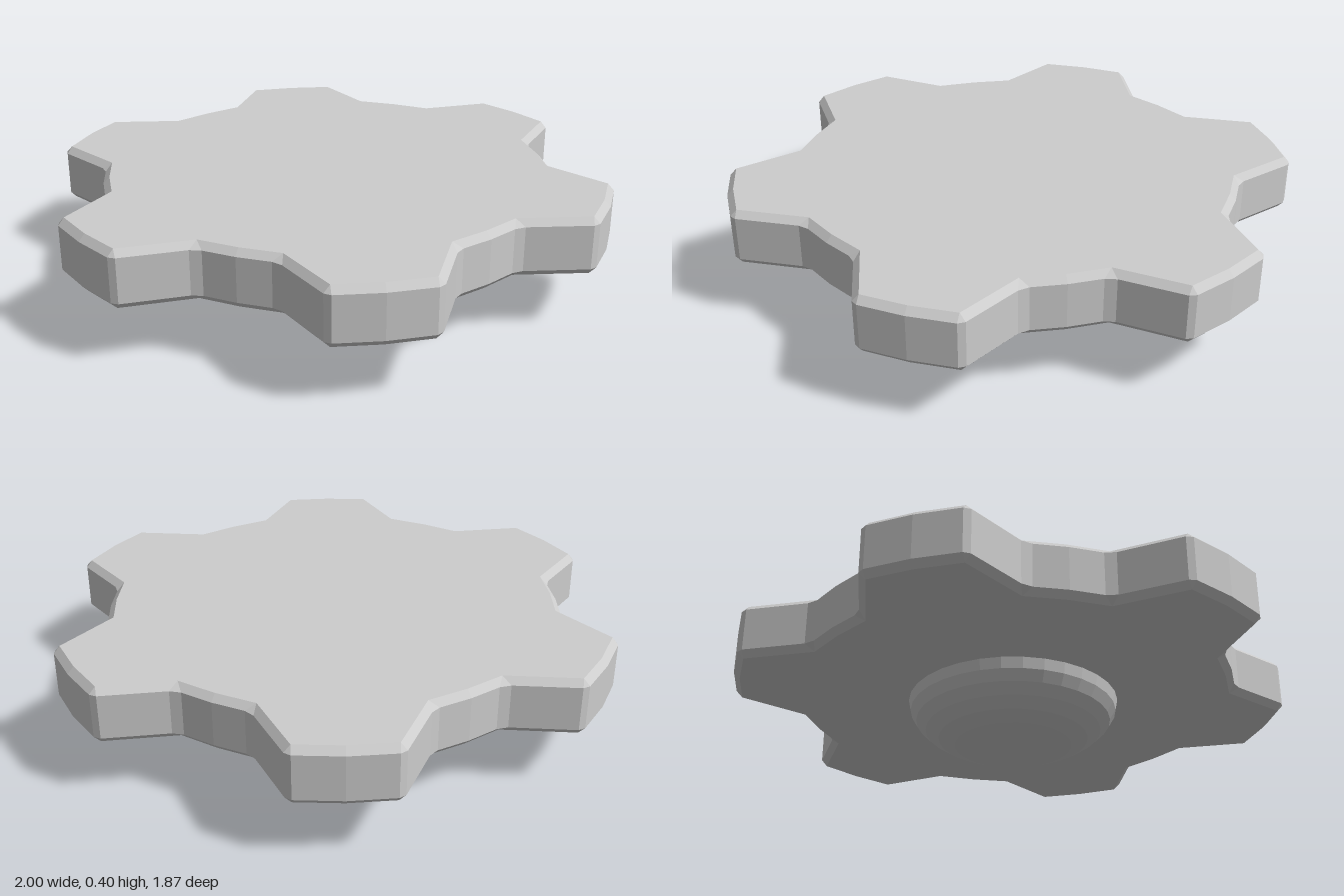
import * as THREE from 'three';

const TEETH = 6;
const BEVEL = 0.022;
const BOTTOM = 0.2, TOP = 0.4, EDGE = 0.023;

// One tooth and the notch after it: [radius, angle in degrees, corner chamfer]
const PITCH = [
  [0.98, -9.2, 0.015], [0.978, 0, 0], [0.98, 9.2, 0.015],
  [0.78, 19.4, 0.021], [0.775, 30, 0], [0.78, 40.6, 0.021],
];

// Face outline, and the wider rim outline whose corners are chamfered
function outlines() {
  const pts = [];
  for (let t = 0; t < TEETH; t++) {
    for (const [r, deg, cut] of PITCH) {
      const a = THREE.MathUtils.degToRad(deg + t * 360 / TEETH);
      pts.push({ p: new THREE.Vector2(r * Math.cos(a), r * Math.sin(a)), cut });
    }
  }
  const face = [], rim = [];
  const n = pts.length;
  pts.forEach(({ p, cut }, i) => {
    const d1 = p.clone().sub(pts[(i + n - 1) % n].p).normalize();
    const d2 = pts[(i + 1) % n].p.clone().sub(p).normalize();
    const n1 = new THREE.Vector2(d1.y, -d1.x), n2 = new THREE.Vector2(d2.y, -d2.x);
    const mitre = n1.clone().add(n2).multiplyScalar(BEVEL / (1 + n1.dot(n2))).add(p);
    if (cut) {
      face.push(p, p);
      rim.push(mitre.clone().addScaledVector(d1, -cut), mitre.clone().addScaledVector(d2, cut));
    } else {
      face.push(p);
      rim.push(mitre);
    }
  });
  return { face, rim };
}

function gearGeometry() {
  const { face, rim } = outlines();
  const ring = (loop, y) => loop.map((p) => new THREE.Vector3(p.x, y, p.y));
  const rings = [ring(face, BOTTOM), ring(rim, BOTTOM + EDGE), ring(rim, TOP - EDGE), ring(face, TOP)];
  const positions = [];
  const tri = (a, b, c) => {
    if (a.equals(b) || b.equals(c) || c.equals(a)) return;
    for (const v of [a, b, c]) positions.push(v.x, v.y, v.z);
  };
  const low = new THREE.Vector3(0, BOTTOM, 0), high = new THREE.Vector3(0, TOP, 0);
  const n = face.length;
  for (let i = 0; i < n; i++) {
    const j = (i + 1) % n;
    // Bevel, wall, bevel
    for (let k = 0; k < 3; k++) {
      const a = rings[k], b = rings[k + 1];
      tri(a[i], b[i], b[j]);
      tri(a[i], b[j], a[j]);
    }
    // Flat faces
    tri(high, rings[3][j], rings[3][i]);
    tri(low, rings[0][i], rings[0][j]);
  }
  const geometry = new THREE.BufferGeometry();
  geometry.setAttribute('position', new THREE.Float32BufferAttribute(positions, 3));
  geometry.computeVertexNormals();
  return geometry;
}

export function createModel() {
  const group = new THREE.Group();
  group.name = 'gearKnob';
  const grey = new THREE.MeshStandardMaterial({ color: 0xcccccc, flatShading: true });
  grey.name = 'light grey';

  // Six-toothed wheel
  const wheel = new THREE.Mesh(gearGeometry(), grey);
  wheel.name = 'toothedWheel';
  group.add(wheel);

  // Flattened dome underneath
  const dome = new THREE.Mesh(
    new THREE.SphereGeometry(1, 32, 8, 0, Math.PI * 2, Math.PI / 2, Math.PI / 2), grey);
  dome.name = 'underDome';
  dome.scale.set(0.38, 0.2, 0.38);
  dome.position.y = BOTTOM;
  group.add(dome);

  return group;
}
